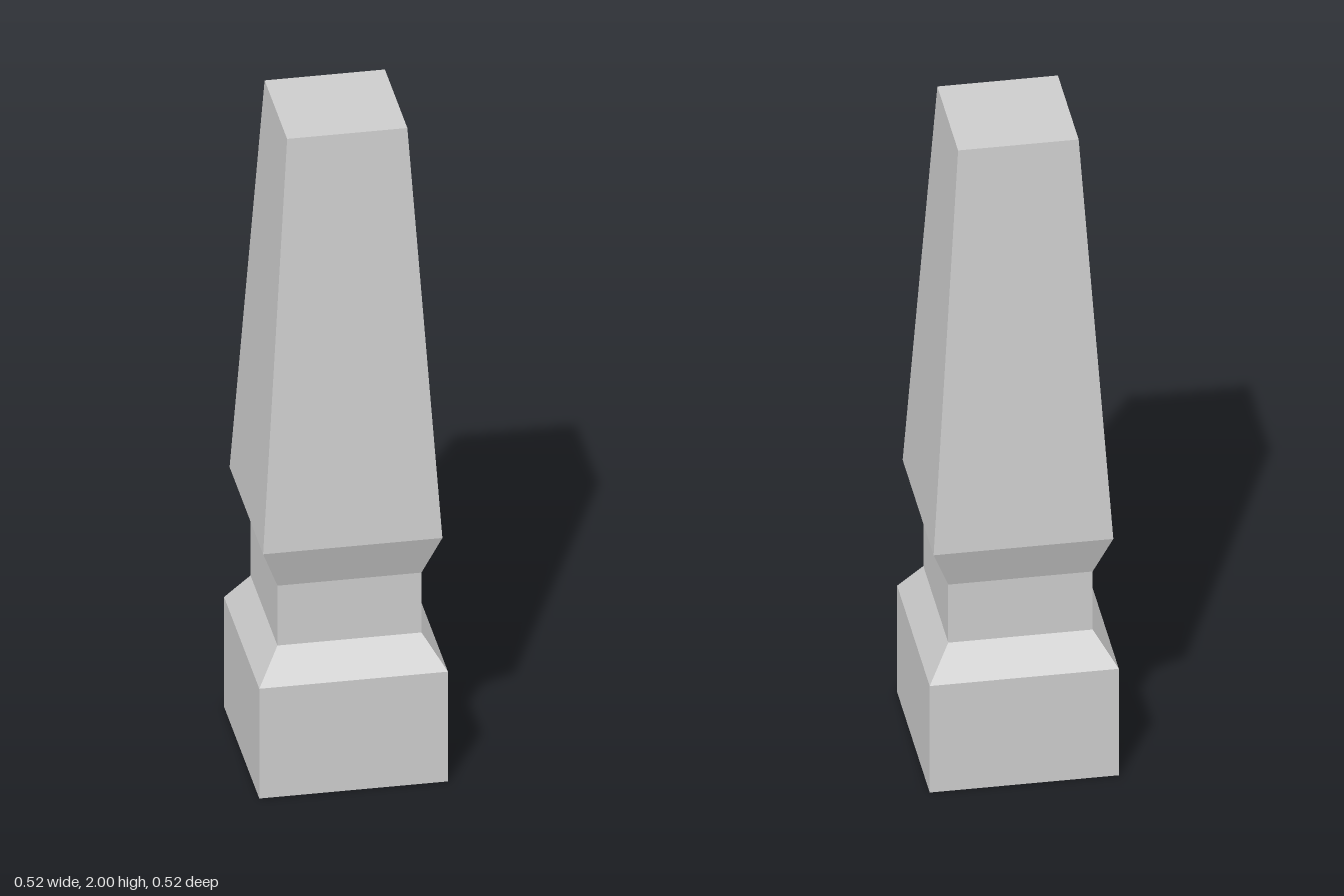
import * as THREE from 'three';

export function createModel() {
  const group = new THREE.Group();
  group.name = 'taperedPost';
  const stone = new THREE.MeshStandardMaterial({ color: 0xcccccc });
  stone.name = 'paleGrey';

  // Square section: turns [half width, height] points into four flat sides
  function squareTurned(name, profile) {
    const points = profile.map(([half, y]) => new THREE.Vector2(half * Math.SQRT2, y));
    const geometry = new THREE.LatheGeometry(points, 4, Math.PI / 4).toNonIndexed();
    geometry.computeVertexNormals();
    const mesh = new THREE.Mesh(geometry, stone);
    mesh.name = name;
    group.add(mesh);
  }

  // Block with its underside
  squareTurned('base', [[0, 0], [0.262, 0], [0.262, 0.343]]);
  // Slope in to the neck
  squareTurned('baseChamfer', [[0.262, 0.343], [0.2, 0.438]]);
  squareTurned('neck', [[0.2, 0.438], [0.2, 0.625]]);
  // Slope out to the shaft
  squareTurned('shaftFlare', [[0.2, 0.625], [0.249, 0.755]]);
  // Tapering shaft with its flat top
  squareTurned('shaft', [[0.249, 0.755], [0.167, 2], [0, 2]]);

  return group;
}
